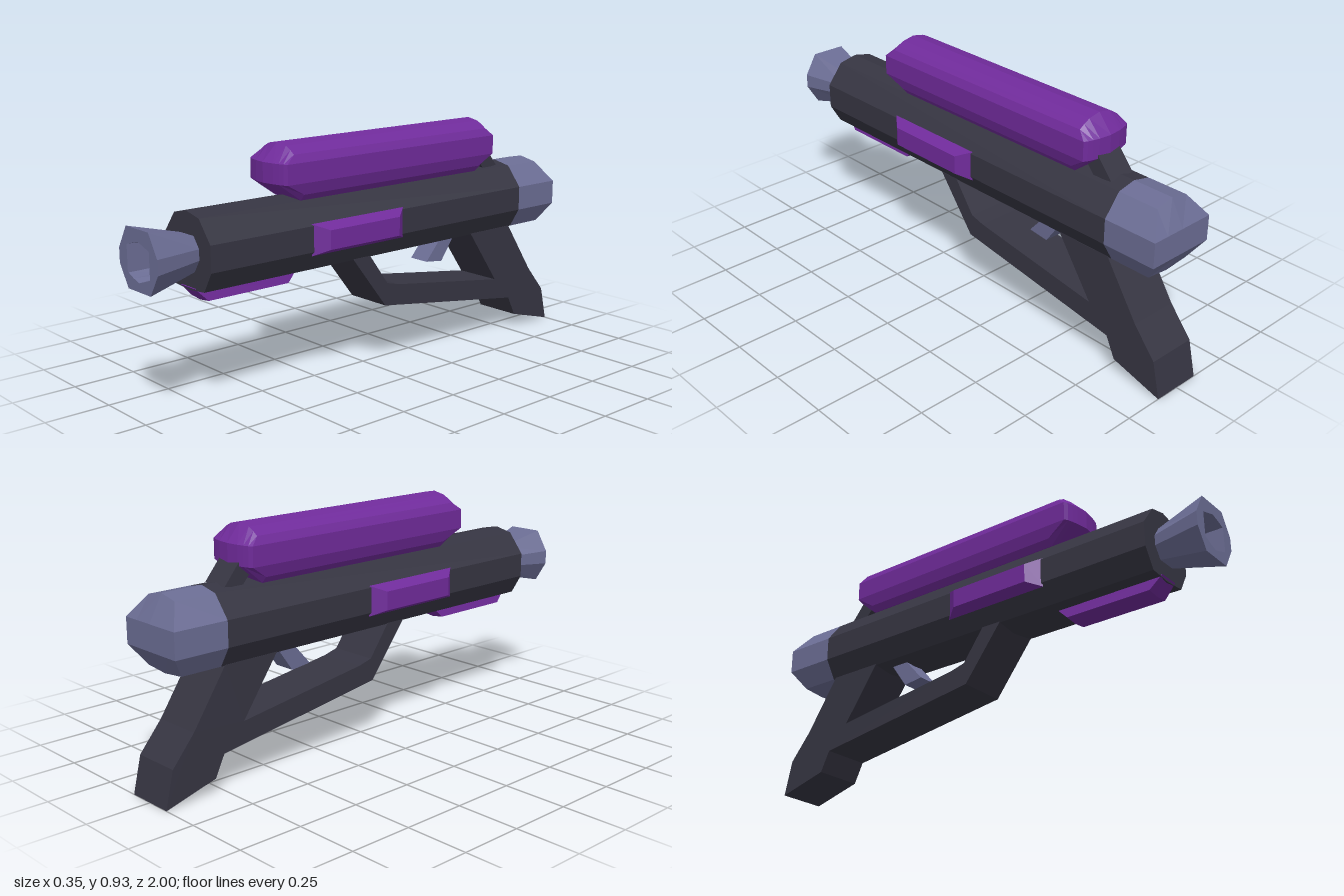
import * as THREE from 'three';

const mat = (name, color) => {
  const m = new THREE.MeshStandardMaterial({ color, flatShading: true });
  m.name = name;
  return m;
};

// Skin a list of rings (each counter-clockwise seen from the loft's far end), with end caps
function loft(rings) {
  const pos = [];
  const tri = (a, b, c) => {
    const [A, B, C] = [a, b, c].map(p => new THREE.Vector3(...p));
    const area = B.clone().sub(A).cross(C.clone().sub(A)).length();
    if (area > 1e-8) pos.push(...a, ...b, ...c);
  };
  const n = rings[0].length;
  for (let i = 0; i < rings.length - 1; i++) {
    for (let j = 0; j < n; j++) {
      const k = (j + 1) % n;
      const [a, b, c, d] = [rings[i][j], rings[i][k], rings[i + 1][k], rings[i + 1][j]];
      tri(a, b, c);
      tri(a, c, d);
    }
  }
  const first = rings[0], last = rings[rings.length - 1];
  for (let j = 1; j < n - 1; j++) {
    tri(first[0], first[j + 1], first[j]);
    tri(last[0], last[j], last[j + 1]);
  }
  const g = new THREE.BufferGeometry();
  g.setAttribute('position', new THREE.Float32BufferAttribute(pos, 3));
  g.computeVertexNormals();
  return g;
}

// Plate cut from a side outline of [z, y] points, centred on x = 0
function sidePlate(points, width) {
  const shape = new THREE.Shape(points.map(p => new THREE.Vector2(...p)));
  const g = new THREE.ExtrudeGeometry(shape, { depth: width, bevelEnabled: false });
  return g.translate(0, 0, -width / 2).rotateY(-Math.PI / 2);
}

// Complete a right-hand half profile (top centre last) into a symmetric ring
const mirrorRing = half => {
  const top = half.filter(p => p[0] > 0);
  const centre = half.filter(p => p[0] === 0);
  return [...top, centre[1], ...top.slice().reverse().map(([x, y]) => [-x, y]), centre[0]];
};
const atZ = (ring, z) => ring.map(([x, y]) => [x, y, z]);

export function createModel() {
  const model = new THREE.Group();
  const dark = mat('darkGrey', 0x363542);
  const steel = mat('blueGrey', 0x6b6d94);
  const purple = mat('purple', 0x702b9b);
  const add = (name, geometry, material) => {
    const mesh = new THREE.Mesh(geometry, material);
    mesh.name = name;
    model.add(mesh);
  };

  // Barrel body
  const section = mirrorRing([
    [0, 0.448], [0.095, 0.457], [0.14, 0.533], [0.14, 0.63], [0.075, 0.712], [0, 0.728],
  ]);
  add('body', loft([atZ(section, -0.75), atZ(section, 0.805)]), dark);

  // Rear cap, sloping in to a flat back panel
  const back = section.map(([x, y]) => [x, THREE.MathUtils.clamp(y, 0.533, 0.63), -0.968]);
  const shoulder = section.map(([x, y]) => [x, y, y > 0.65 || y < 0.5 ? -0.915 : -0.968]);
  add('rearCap', loft([back, shoulder, atZ(section, -0.75)]), steel);

  // Flared muzzle: outside, flat rim, recess and its floor in one skin
  const root = mirrorRing([[0, 0.52], [0.04, 0.52], [0.07, 0.565], [0.07, 0.605], [0.04, 0.645], [0, 0.645]]);
  const rim = mirrorRing([[0, 0.475], [0.07, 0.475], [0.12, 0.555], [0.12, 0.61], [0.07, 0.693], [0, 0.693]]);
  const hole = mirrorRing([[0, 0.507], [0.035, 0.518], [0.07, 0.53], [0.07, 0.63], [0.035, 0.64], [0, 0.65]]);
  const floor = mirrorRing([[0, 0.517], [0.033, 0.52], [0.066, 0.532], [0.066, 0.628], [0.033, 0.63], [0, 0.63]]);
  add('muzzle', loft([atZ(root, 0.8), atZ(rim, 1), atZ(hole, 1), atZ(floor, 0.88)]), steel);

  // Top tank, lofted across its width: x, top, bottom, front and rear ends
  const tankHalf = [
    [0.11, 0.858, 0.783, 0.45, -0.612],
    [0.095, 0.888, 0.738, 0.458, -0.62],
    [0.075, 0.902, 0.714, 0.464, -0.626],
    [0.05, 0.915, 0.714, 0.47, -0.632],
    [0, 0.925, 0.714, 0.477, -0.637],
  ];
  const stations = [
    ...tankHalf.map(([x, ...r]) => [-x, ...r]),
    ...tankHalf.slice(0, -1).reverse(),
  ];
  add('topTank', loft(stations.map(([x, top, bottom, front, rear]) => {
    const edge = Math.abs(x) > 0.1;
    const [tf, tr, bf, br] = edge ? [front, rear, front, rear] : [0.41, -0.58, 0.365, -0.545];
    return [
      [x, top, tf], [x, 0.858, front], [x, 0.783, front], [x, bottom, bf],
      [x, bottom, br], [x, 0.783, rear], [x, 0.858, rear], [x, top, tr],
    ];
  })), purple);

  // Strut holding the rear of the tank
  add('tankStrut', sidePlate([[-0.56, 0.78], [-0.62, 0.81], [-0.695, 0.72], [-0.62, 0.71]], 0.11), dark);

  // Bevelled side pods
  const podRing = (x, y0, y1, z0, z1) => [[x, y1, z0], [x, y1, z1], [x, y0, z1], [x, y0, z0]];
  for (const s of [-1, 1]) {
    const rings = [
      podRing(s * 0.135, 0.518, 0.637, -0.085, 0.365),
      podRing(s * 0.176, 0.54, 0.613, -0.03, 0.31),
    ];
    add(s > 0 ? 'leftPod' : 'rightPod', loft(s > 0 ? rings : rings.reverse()), purple);
  }

  // Lower pod under the barrel
  const lowerRing = z => z.map(([x, y, d]) => [x, y, d]);
  const lowerPod = [[0.81, 0.36], [0.76, 0.41]];
  add('lowerPod', loft([
    [-0.053, 0.41], [0, 0.404], [0.053, 0.41],
  ].map(([x, y]) => lowerRing([
    [x * 0.83, 0.46, lowerPod[0][0]], [x, y, lowerPod[1][0]],
    [x, y, lowerPod[1][1]], [x * 0.83, 0.46, lowerPod[0][1]],
  ]))), purple);

  // Grip and trigger guard in one outline
  add('gripAndGuard', sidePlate([
    [0.135, 0.46], [-0.03, 0.247], [-0.75, 0.14], [-0.79, 0.058], [-1, 0],
    [-0.967, 0.14], [-0.875, 0.25], [-0.735, 0.46], [-0.505, 0.46],
    [-0.66, 0.238], [-0.1, 0.32], [-0.04, 0.336], [0.05, 0.46],
  ], 0.196), dark);

  // Trigger
  add('trigger', sidePlate([[-0.39, 0.46], [-0.305, 0.365], [-0.39, 0.355], [-0.465, 0.46]], 0.09), steel);

  return model;
}
